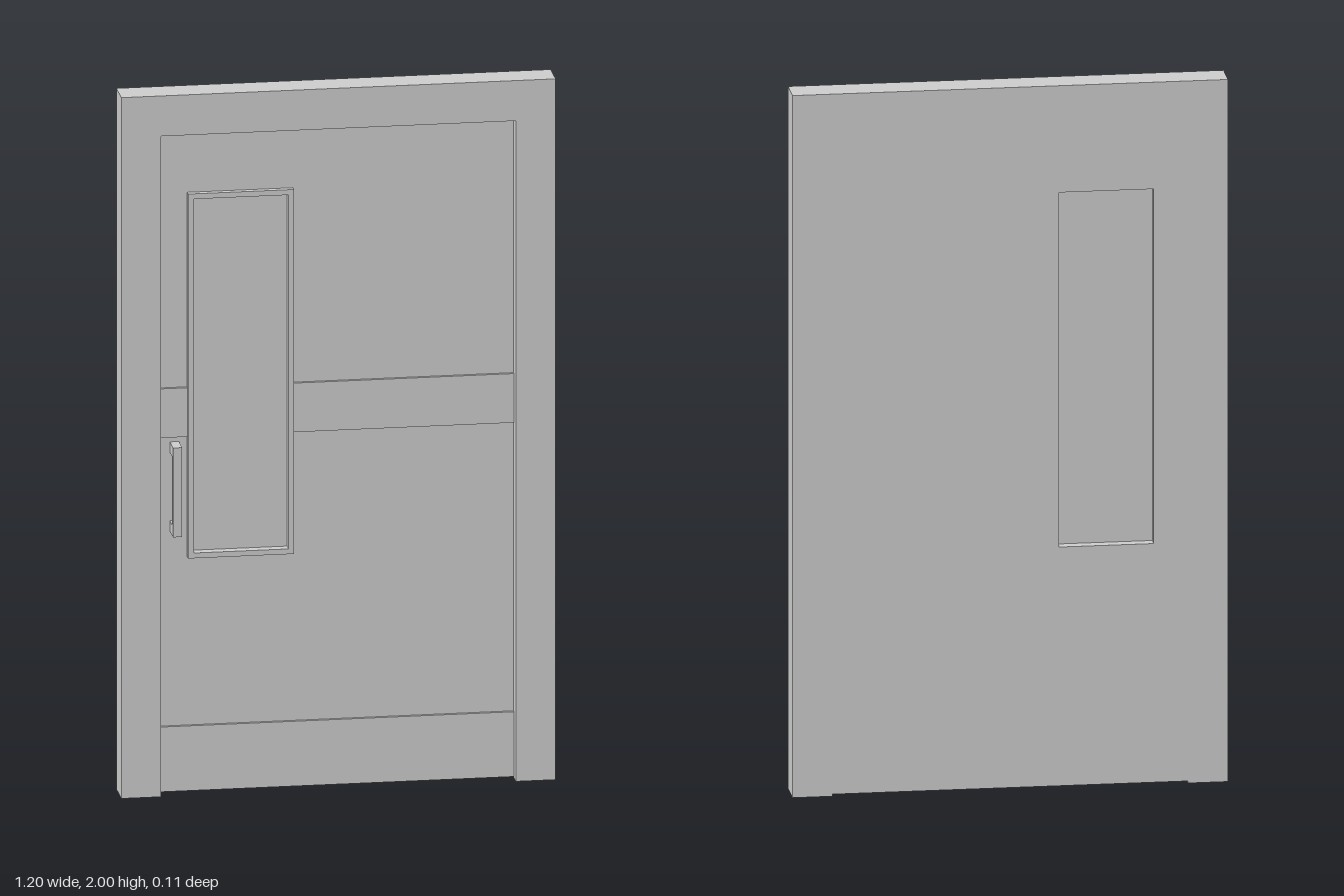
import * as THREE from 'three';

const material = new THREE.MeshStandardMaterial({ color: 0xcccccc, flatShading: true });

// Box given by its limits on each axis
function box(name, x0, x1, y0, y1, z0, z1) {
  const mesh = new THREE.Mesh(new THREE.BoxGeometry(x1 - x0, y1 - y0, z1 - z0), material);
  mesh.position.set((x0 + x1) / 2, (y0 + y1) / 2, (z0 + z1) / 2);
  mesh.name = name;
  return mesh;
}

function rectPoints([x0, x1, y0, y1]) {
  return [[x0, y0], [x1, y0], [x1, y1], [x0, y1]].map(([x, y]) => new THREE.Vector2(x, y));
}

// Rectangular plate with an optional rectangular hole
function plate(name, outer, hole, z0, z1) {
  const shape = new THREE.Shape(rectPoints(outer));
  if (hole) shape.holes.push(new THREE.Path(rectPoints(hole).reverse()));
  const geometry = new THREE.ExtrudeGeometry(shape, { depth: z1 - z0, bevelEnabled: false });
  geometry.translate(0, 0, z0);
  const mesh = new THREE.Mesh(geometry, material);
  mesh.name = name;
  return mesh;
}

export function createModel() {
  const door = new THREE.Group();
  door.name = 'door';

  const back = -0.055, front = 0.035;      // frame depth
  const leafBack = -0.052, leafFront = -0.004;
  const half = 0.49, leafTop = 1.885, leafBottom = 0.005;
  const opening = [-0.396, -0.135, 0.685, 1.695];
  const trim = [-0.412, -0.12, 0.67, 1.71];

  // Surrounding frame: two jambs and a head, as one outline
  const outline = [[-0.6, 0], [-half, 0], [-half, leafTop], [half, leafTop],
    [half, 0], [0.6, 0], [0.6, 2], [-0.6, 2]].map(([x, y]) => new THREE.Vector2(x, y));
  const frameGeometry = new THREE.ExtrudeGeometry(new THREE.Shape(outline),
    { depth: front - back, bevelEnabled: false });
  frameGeometry.translate(0, 0, back);
  const frame = new THREE.Mesh(frameGeometry, material);
  frame.name = 'doorFrame';
  door.add(frame);

  // Leaf with its window
  door.add(plate('doorLeaf', [-half, half, leafBottom, leafTop], opening, leafBack, leafFront));
  door.add(plate('windowTrim', trim, opening, leafFront, 0.013));
  door.add(box('windowPane', ...opening, -0.022, -0.014));

  // Raised bands on the front; the middle rail stops at the window trim
  door.add(box('kickPlate', -half, half, leafBottom, 0.19, leafFront, 0.005));
  door.add(box('middleRailRight', -half, trim[0], 1.015, 1.155, leafFront, 0.005));
  door.add(box('middleRailLeft', trim[1], half, 1.015, 1.155, leafFront, 0.005));

  // Pull handle: upright grip on two posts
  const handle = new THREE.Group();
  handle.name = 'handle';
  handle.add(box('grip', -0.46, -0.435, 0.745, 1.0, 0.035, 0.055));
  for (const y of [0.745, 0.97]) {
    handle.add(box('handlePost', -0.46, -0.435, y, y + 0.03, leafFront, 0.035));
  }
  door.add(handle);

  return door;
}
